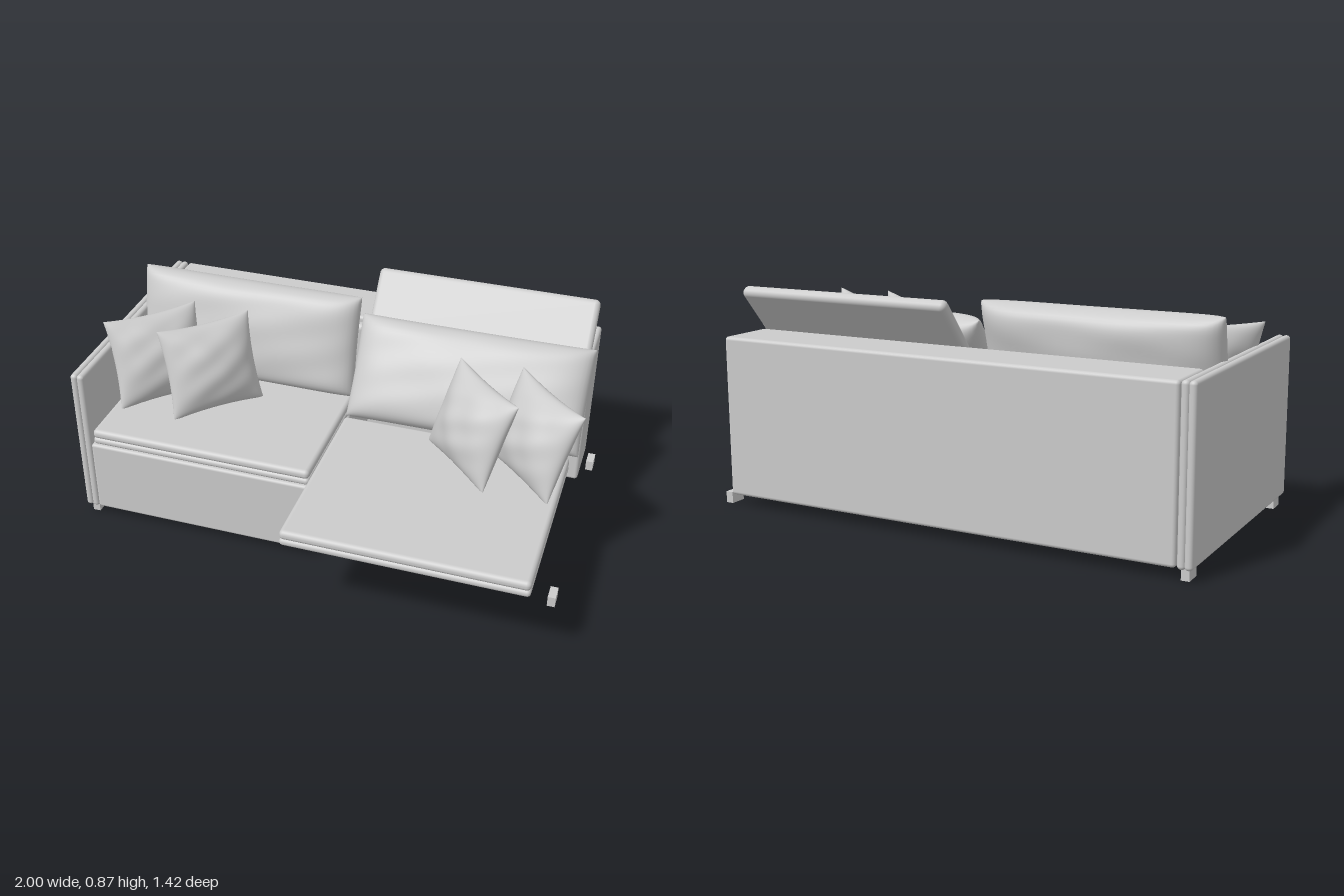
import * as THREE from 'three';
import { mergeVertices } from 'three/addons/utils/BufferGeometryUtils.js';
import { RoundedBoxGeometry } from 'three/addons/geometries/RoundedBoxGeometry.js';

const fabric = new THREE.MeshStandardMaterial({ color: 0xcccccc });
fabric.name = 'light grey fabric';

export function createModel() {
  const sofa = new THREE.Group();
  sofa.name = 'sofa';

  const add = (name, geometry, x, y, z) => {
    const mesh = new THREE.Mesh(geometry, fabric);
    mesh.name = name;
    mesh.position.set(x, y, z);
    sofa.add(mesh);
    return mesh;
  };

  // Rounded block given by its limits on each axis
  const block = (name, [x0, x1], [y0, y1], [z0, z1], r) =>
    add(name, new RoundedBoxGeometry(x1 - x0, y1 - y0, z1 - z0, 4, r),
      (x0 + x1) / 2, (y0 + y1) / 2, (z0 + z1) / 2);

  // Stuffed cushion: a gridded box whose two faces swell and meet in a seam.
  // power sets how full the edges are, crown the extra swell in the middle,
  // pinch how far the sides draw in between the corners.
  const cushionGeometry = (w, h, t, { power, crown, pinch, wrinkle, seed = 0 }) => {
    const g = new THREE.BoxGeometry(2, 2, 2, 32, 32, 1);
    g.deleteAttribute('uv');
    g.deleteAttribute('normal');
    const p = g.attributes.position;
    for (let i = 0; i < p.count; i++) {
      const u = Math.sin(p.getX(i) * Math.PI / 2);
      const v = Math.sin(p.getY(i) * Math.PI / 2);
      const side = Math.sign(p.getZ(i));
      const edge = Math.sqrt(Math.max(0, (1 - Math.abs(u) ** power) * (1 - Math.abs(v) ** power)));
      const swell = 1 - crown + crown * (1 - u * u) * (1 - v * v);
      const fold = wrinkle * edge * (Math.sin(7 * u + 4 * v + seed) + Math.sin(9 * v - 5 * u + 2 * seed));
      p.setXYZ(i,
        u * w / 2 * (1 - pinch * (1 - v * v)),
        v * h / 2 * (1 - pinch * (1 - u * u)),
        side * (t / 2 * edge * swell + fold * edge));
    }
    const merged = mergeVertices(g, 1e-5);
    merged.computeVertexNormals();
    return merged;
  };

  // Frame: back, left-hand base and upholstered arm panel
  block('backFrame', [-0.932, 0.952], [0.045, 0.682], [-0.71, -0.467], 0.014);
  block('seatBase', [-0.935, 0.005], [0.045, 0.362], [-0.463, 0.34], 0.012);
  block('armOuterPad', [-0.992, -0.962], [0.042, 0.685], [-0.71, 0.34], 0.014);
  block('armInnerPad', [-0.965, -0.935], [0.042, 0.685], [-0.71, 0.34], 0.014);

  // Seat cushions, each of two layers joined at a seam; one is slid forward
  for (const [side, xs, zs] of [
    ['fixed', [-0.925, 0.003], [-0.46, 0.335]],
    ['extended', [0.015, 0.948], [-0.09, 0.707]],
  ]) {
    block(side + 'SeatLower', xs, [0.364, 0.394], zs, 0.014);
    block(side + 'SeatUpper', xs, [0.39, 0.43], zs, 0.018);
  }

  // Back supports: slabs running from (z0, y0) up to (z1, y1)
  const support = (name, x0, x1, [z0, y0], [z1, y1]) => {
    const geo = new RoundedBoxGeometry(x1 - x0, Math.hypot(z1 - z0, y1 - y0), 0.05, 4, 0.022);
    add(name, geo, (x0 + x1) / 2, (y0 + y1) / 2, (z0 + z1) / 2)
      .rotation.x = Math.atan2(z1 - z0, y1 - y0);
  };
  support('headrestLower', 0.015, 0.945, [-0.408, 0.425], [-0.438, 0.69]);
  support('headrestUpper', 0.015, 0.945, [-0.425, 0.655], [-0.597, 0.86]);
  support('foldedHeadrest', -0.925, 0.0, [-0.438, 0.425], [-0.438, 0.67]);

  // Large back cushions
  const plump = { power: 9, crown: 0.3, pinch: 0.012, wrinkle: 0.0015 };
  add('leftBackCushion', cushionGeometry(0.965, 0.43, 0.2, plump), -0.477, 0.635, -0.295)
    .rotation.x = -0.26;
  add('rightBackCushion', cushionGeometry(0.965, 0.43, 0.21, { ...plump, seed: 2 }), 0.492, 0.585, -0.245)
    .rotation.x = -0.58;

  // Throw pillows, turned inward and leaning back
  const soft = { power: 2.4, crown: 0.25, pinch: 0.07, wrinkle: 0.003 };
  [[-0.785, -0.035, 1], [-0.545, -0.03, 1], [0.575, 0.06, -1], [0.82, 0.055, -1]]
    .forEach(([x, z, turn], i) => {
      const pillow = add('throwPillow' + (i + 1),
        cushionGeometry(0.4, 0.375, 0.17, { ...soft, seed: i * 1.7 }), x, 0.6, z);
      pillow.rotation.set(-0.36, turn * 0.78, 0, 'YXZ');
    });

  // Feet
  for (const x of [-0.96, 0.984])
    for (const z of [0.283, -0.652])
      add('foot', new THREE.BoxGeometry(0.031, 0.045, 0.066), x, 0.0225, z);

  return sofa;
}
